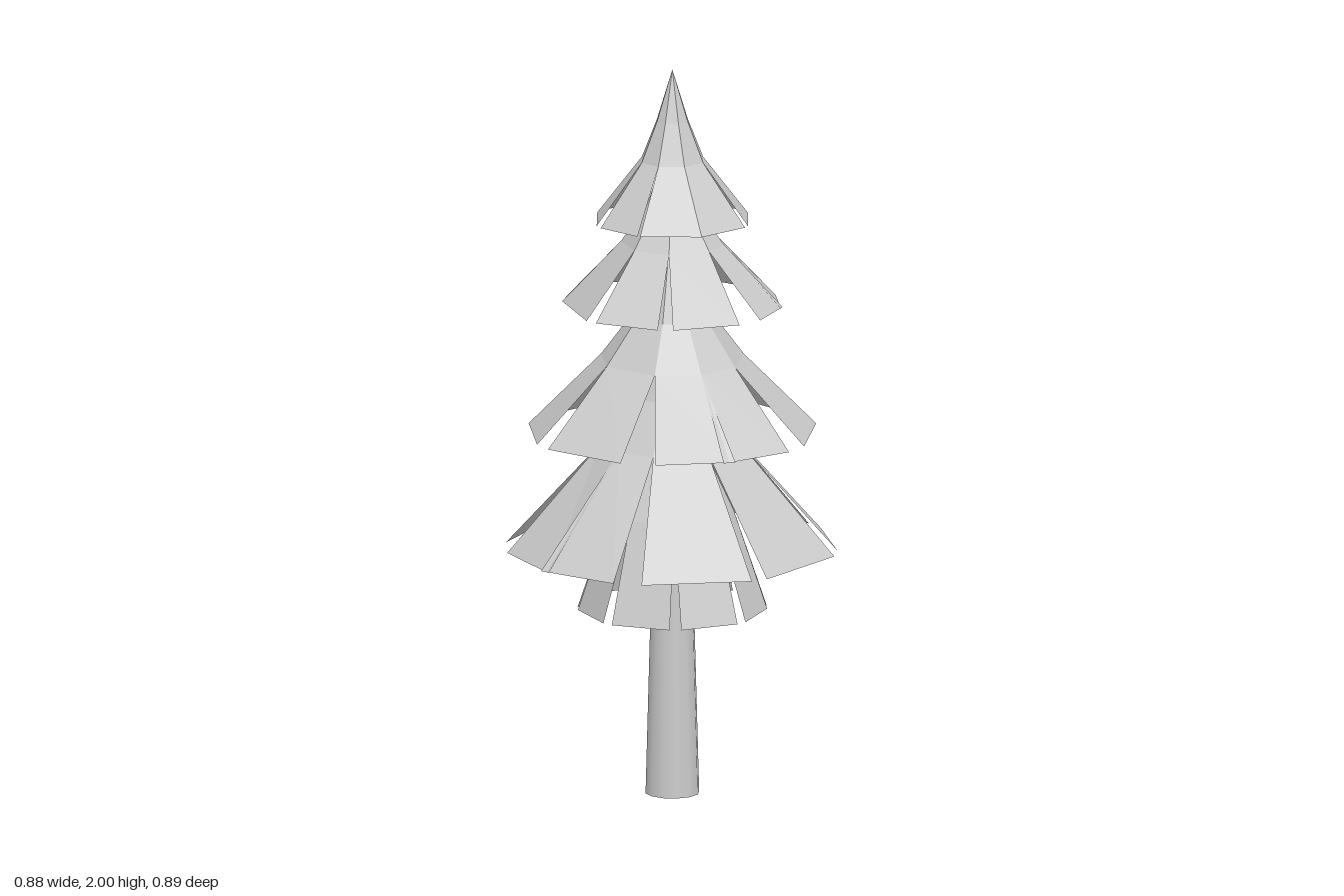
import * as THREE from 'three';

const AXIS_X = -0.02, AXIS_Z = -0.01;
const leafMaterial = new THREE.MeshStandardMaterial({ color: 0xcccccc, flatShading: true, side: THREE.DoubleSide });
const trunkMaterial = new THREE.MeshStandardMaterial({ color: 0xcccccc, side: THREE.DoubleSide });

// profile: [radius, height] from the top of the skirt to its rim.
// panels: [start, end] angle in degrees of each flap at the rim, from +x towards +z.
const TIERS = [
  {
    name: 'topSkirt',
    profile: [[0, 2], [0.045, 1.86], [0.09, 1.75], [0.217, 1.585]],
    panels: [[-41, 0], [5, 48], [48, 93], [95, 132], [139, 181], [187, 229], [237, 270], [270, 313]],
  },
  {
    name: 'upperSkirt',
    profile: [[0.01, 1.8], [0.07, 1.62], [0.14, 1.52], [0.298, 1.35]],
    panels: [[-42, -10], [-15, 17], [32, 69], [77, 113], [120, 166], [174, 209], [217, 260], [266, 306]],
  },
  {
    name: 'middleSkirt',
    profile: [[0.02, 1.56], [0.11, 1.32], [0.2, 1.2], [0.396, 1.0]],
    panels: [[-33, 6], [17, 49], [44, 76], [90, 127], [136, 172], [180, 228], [235, 271], [279, 321]],
  },
  {
    name: 'lowerSkirt',
    profile: [[0.02, 1.3], [0.1, 1.1], [0.19, 0.97], [0.45, 0.68]],
    panels: [[-48, -13], [-6, 35], [41, 80], [90, 121], [117, 150], [165, 203], [211, 250], [257, 304]],
  },
  {
    name: 'bottomSkirt',
    profile: [[0.03, 1.1], [0.1, 0.92], [0.165, 0.78], [0.255, 0.51]],
    panels: Array.from({ length: 8 }, (_, i) => [i * 45 - 19, i * 45 + 19]),
  },
];

// One folded flap: closed against its neighbours above the fold, free at the rim.
function flap(profile, inner, rim) {
  const positions = [], index = [];
  profile.forEach(([r, y], i) => {
    const angles = i === profile.length - 1 ? rim : inner;
    for (const degrees of angles) {
      const a = THREE.MathUtils.degToRad(degrees);
      positions.push(r * Math.cos(a), y, r * Math.sin(a));
    }
    if (i > 0) {
      const b = i * 2;
      index.push(b - 2, b - 1, b, b - 1, b + 1, b);
    }
  });
  const geometry = new THREE.BufferGeometry();
  geometry.setAttribute('position', new THREE.Float32BufferAttribute(positions, 3));
  geometry.setIndex(index);
  geometry.computeVertexNormals();
  return geometry;
}

// A ring of flaps around the trunk
function skirt({ name, profile, panels }) {
  const group = new THREE.Group();
  group.name = name;
  const n = panels.length;
  panels.forEach((rim, i) => {
    const before = i > 0 ? panels[i - 1][1] : panels[n - 1][1] - 360;
    const after = i < n - 1 ? panels[i + 1][0] : panels[0][0] + 360;
    const inner = [(before + rim[0]) / 2, (rim[1] + after) / 2];
    const mesh = new THREE.Mesh(flap(profile, inner, rim), leafMaterial);
    mesh.name = 'branchFlap';
    group.add(mesh);
  });
  return group;
}

export function createModel() {
  const tree = new THREE.Group();
  tree.name = 'tree';

  // Tapered hollow trunk
  const trunk = new THREE.Mesh(new THREE.CylinderGeometry(0.042, 0.073, 1.15, 12, 1, true), trunkMaterial);
  trunk.name = 'trunk';
  trunk.position.y = 0.575;
  tree.add(trunk);

  // Foliage
  for (const tier of TIERS) tree.add(skirt(tier));

  for (const part of tree.children) {
    part.position.x = AXIS_X;
    part.position.z = AXIS_Z;
  }
  return tree;
}
